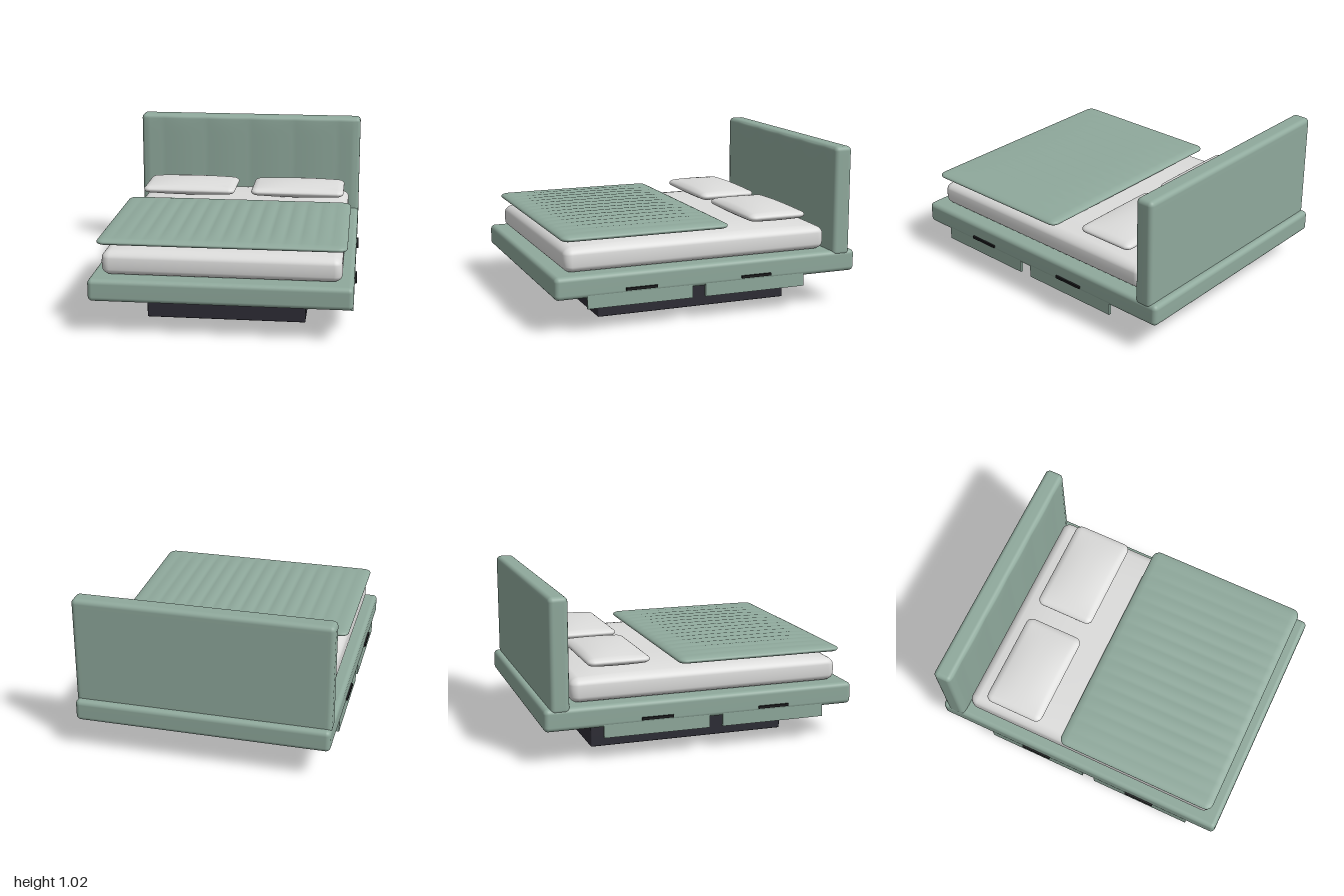
import * as THREE from 'three';
import { mergeVertices } from 'three/addons/utils/BufferGeometryUtils.js';

const K = 5; // segments in each rounded edge

// Rounded box with edge radius r in plan and ry in height. The flat middle of each
// side has n segments, and warp(p, u, v, w) may bend it (u, v, w run from -1 to 1).
function softBox(size, r, ry, n, warp) {
  const N = n.map(k => k + 2 * K), R = [r, ry, r];
  let geo = new THREE.BoxGeometry(...size, ...N);
  geo.deleteAttribute('uv');
  geo.deleteAttribute('normal');
  const pos = geo.attributes.position, p = new THREE.Vector3();
  for (let i = 0; i < pos.count; i++) {
    p.fromBufferAttribute(pos, i);
    const inner = [], out = [];
    p.toArray().forEach((c, a) => {
      const half = size[a] / 2, mid = half - R[a];
      const j = Math.round((c / size[a] + 0.5) * N[a]);
      let q;
      if (j < K) q = -half + R[a] * j / K;
      else if (j > N[a] - K) q = half - R[a] * (N[a] - j) / K;
      else q = -mid + 2 * mid * (j - K) / n[a];
      inner[a] = THREE.MathUtils.clamp(q, -mid, mid);
      out[a] = (q - inner[a]) / R[a];
    });
    const len = Math.hypot(...out) || 1;
    p.fromArray(inner.map((c, a) => c + out[a] / len * R[a]));
    if (warp) warp(p, p.x / size[0] * 2, p.y / size[1] * 2, p.z / size[2] * 2);
    pos.setXYZ(i, p.x, p.y, p.z);
  }
  geo = mergeVertices(geo, 1e-5);
  geo.computeVertexNormals();
  return geo;
}

export function createModel() {
  const bed = new THREE.Group();
  bed.name = 'bed';
  const mat = (name, color) => {
    const m = new THREE.MeshStandardMaterial({ color });
    m.name = name;
    return m;
  };
  const green = mat('sage fabric', 0x8fa99c);
  const linen = mat('white linen', 0xdcdcdb);
  const dark = mat('dark plinth', 0x2d2c35);
  const black = mat('black handle', 0x1a1a1c);

  const add = (name, geo, material, x, y, z) => {
    const m = new THREE.Mesh(geo, material);
    m.name = name;
    m.position.set(x, y, z);
    bed.add(m);
  };
  const dome = (u, w, e) => Math.max(0, 1 - Math.abs(u) ** e) * Math.max(0, 1 - Math.abs(w) ** e);

  // Recessed plinth and padded platform
  add('plinth', softBox([1, 0.17, 1.28], 0.008, 0.008, [1, 1, 1]), dark, 0, 0.085, 0);
  add('platform', softBox([1.6, 0.14, 2], 0.03, 0.03, [1, 1, 1]), green, 0, 0.285, 0);

  // Headboard with five shallow padded channels on its front
  const panel = 0.77 / 2.4;
  add('headboard', softBox([1.6, 0.705, 0.12], 0.03, 0.03, [96, 20, 2], (p, u, v, w) => {
    if (w > 0.9 && Math.abs(p.x) < 0.77)
      p.z += 0.006 * Math.abs(Math.sin(Math.PI * p.x / panel)) * Math.max(0, 1 - v ** 8);
  }), green, 0, 0.6725, -0.9);

  // Mattress with a crowned top
  add('mattress', softBox([1.46, 0.15, 1.74], 0.05, 0.04, [32, 4, 32], (p, u, v, w) => {
    if (v > 0) p.y += 0.04 * v * dome(u, w, 5);
    const tuck = 1 - 0.012 * v * v;
    p.x *= tuck;
    p.z *= tuck;
  }), linen, 0, 0.43, 0.05);

  // Pillows, plump above and below
  const pillow = softBox([0.64, 0.044, 0.395], 0.045, 0.021, [24, 2, 20], (p, u, v, w) => {
    p.y += 0.028 * v * dome(u, w, 2.2);
  });
  for (const s of [1, -1]) add(s > 0 ? 'leftPillow' : 'rightPillow', pillow, linen, s * 0.378, 0.585, -0.502);

  // Quilt with channels running from head to foot
  add('quilt', softBox([1.51, 0.038, 1.075], 0.05, 0.018, [120, 2, 24], (p, u, v, w) => {
    if (v <= 0) return;
    const rib = Math.abs(Math.sin(Math.PI * p.x / 0.094));
    p.y += v * dome(u, w, 4) * (0.007 + 0.007 * rib);
  }), green, 0, 0.567, 0.398);

  // Two drawers with slim handles on each side
  const front = new THREE.BoxGeometry(0.018, 0.18, 0.675);
  const handle = new THREE.BoxGeometry(0.016, 0.016, 0.2);
  for (const s of [1, -1]) {
    const side = s > 0 ? 'left' : 'right';
    [[0.4625, 0.46], [-0.2975, -0.3]].forEach(([z, hz], i) => {
      const end = i ? 'Head' : 'Foot';
      add(side + end + 'Drawer', front, green, s * 0.788, 0.24, z);
      add(side + end + 'Handle', handle, black, s * 0.804, 0.251, hz);
    });
  }
  return bed;
}
